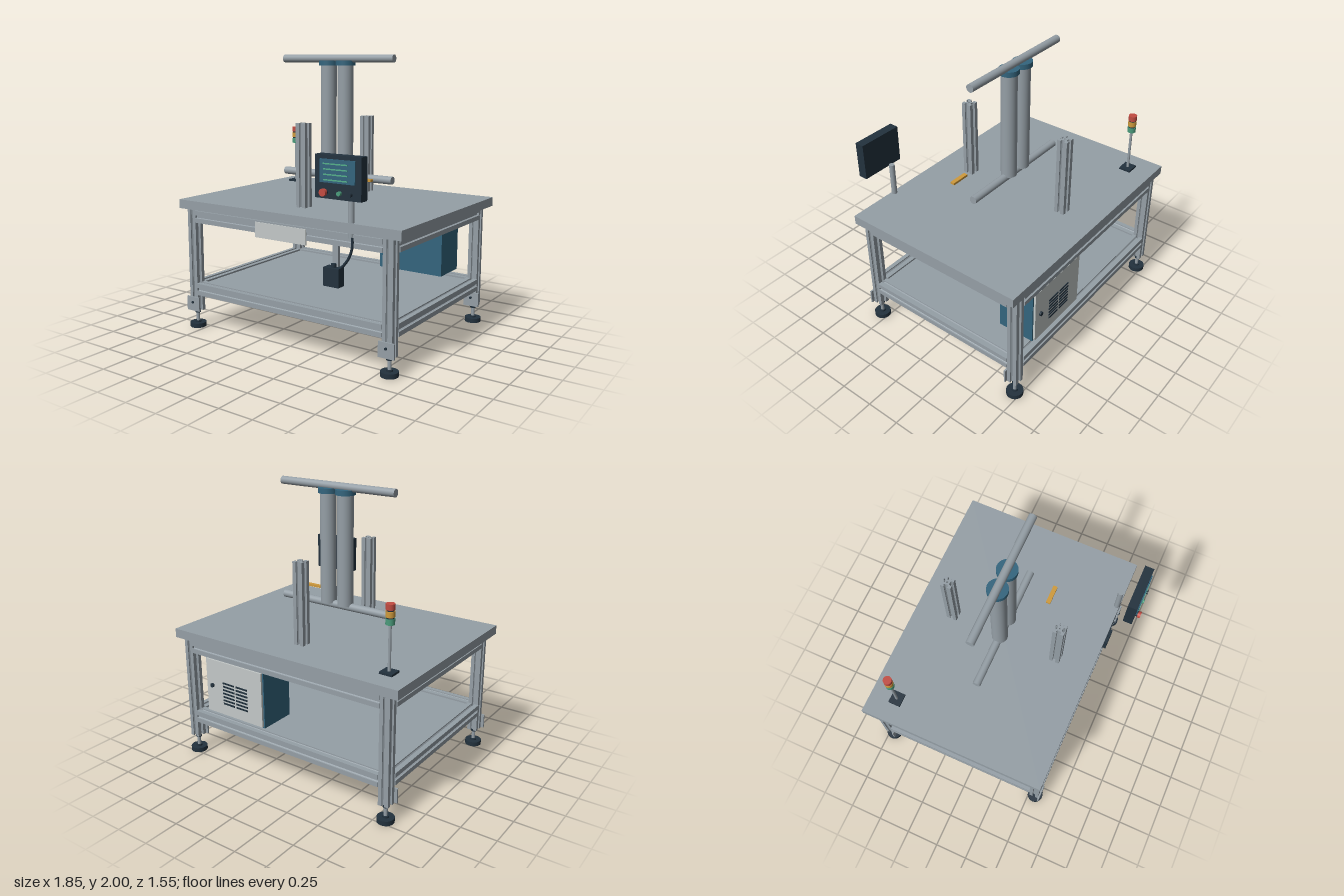
import * as THREE from 'three';

const mat = (name, hex) => {
  const m = new THREE.MeshStandardMaterial({ color: hex });
  m.name = name;
  return m;
};

export function createModel() {
  const M = {
    alu: mat('aluminium', 0x959fa6),
    teal: mat('teal paint', 0x33657e),
    dark: mat('dark plastic', 0x23323e),
    pale: mat('pale panel', 0xc4c9c8),
    red: mat('signal red', 0xc24c42),
    amber: mat('signal amber', 0xcf9a3c),
    green: mat('signal green', 0x4b9c7c),
    lines: mat('screen green', 0x55b08a),
  };
  const root = new THREE.Group();
  root.name = 'workbench';

  const add = (name, geo, material, x, y, z, parent = root) => {
    const m = new THREE.Mesh(geo, material);
    m.name = name;
    m.position.set(x, y, z);
    parent.add(m);
    return m;
  };
  const group = (name) => {
    const g = new THREE.Group();
    g.name = name;
    root.add(g);
    return g;
  };
  // Box given by its limits on each axis
  const box = (name, material, [x0, x1], [y0, y1], [z0, z1], parent) =>
    add(name, new THREE.BoxGeometry(x1 - x0, y1 - y0, z1 - z0), material,
      (x0 + x1) / 2, (y0 + y1) / 2, (z0 + z1) / 2, parent);
  // Cylinder along an axis, centred on its position
  const cyl = (name, material, r, len, [x, y, z], axis = 'y', parent = root, sides = 32) => {
    const g = new THREE.CylinderGeometry(r, r, len, sides);
    if (axis === 'x') g.rotateZ(Math.PI / 2);
    if (axis === 'z') g.rotateX(Math.PI / 2);
    return add(name, g, material, x, y, z, parent);
  };

  // Square profile with a T-slot in every side and a bore
  const profile = (name, size, len, [x, y, z], axis, parent) => {
    const h = size / 2;
    const side = [[-h, -h], [-0.011, -h], [-0.011, -h + 0.008], [-0.019, -h + 0.008], [-0.01, -h + 0.021],
      [0.01, -h + 0.021], [0.019, -h + 0.008], [0.011, -h + 0.008], [0.011, -h]];
    const pts = [];
    for (let k = 0; k < 4; k++) {
      const c = Math.round(Math.cos(k * Math.PI / 2)), s = Math.round(Math.sin(k * Math.PI / 2));
      for (const [a, b] of side) pts.push(new THREE.Vector2(a * c - b * s, a * s + b * c));
    }
    const shape = new THREE.Shape(pts);
    shape.holes.push(new THREE.Path().absarc(0, 0, 0.007, 0, Math.PI * 2, true));
    const g = new THREE.ExtrudeGeometry(shape, { depth: len, bevelEnabled: false, curveSegments: 8 });
    g.translate(0, 0, -len / 2);
    if (axis === 'y') g.rotateX(Math.PI / 2);
    if (axis === 'x') g.rotateY(Math.PI / 2);
    return add(name, g, M.alu, x, y, z, parent);
  };

  // Table top and lower shelf
  box('tableTop', M.alu, [-0.927, 0.927], [0.895, 0.96], [-0.77, 0.605]);
  box('lowerShelf', M.alu, [-0.79, 0.79], [0.318, 0.33], [-0.675, 0.515]);

  // Legs with foot plates and levelling feet
  const LX = 0.825, ZF = 0.55, ZB = -0.712;
  const frame = group('frame');
  for (const x of [-LX, LX]) for (const z of [ZB, ZF]) {
    profile('leg', 0.075, 0.77, [x, 0.51, z], 'y', frame);
    box('footPlate', M.alu, [x - 0.059, x + 0.059], [0.13, 0.235], [z + 0.037, z + 0.049], frame);
    cyl('plateBolt', M.dark, 0.009, 0.01, [x, 0.195, z + 0.053], 'z', frame, 16);
    cyl('footStem', M.alu, 0.013, 0.11, [x, 0.085, z], 'y', frame, 20);
    cyl('footNut', M.dark, 0.022, 0.014, [x, 0.113, z], 'y', frame, 6);
    cyl('footCollar', M.dark, 0.022, 0.012, [x, 0.038, z], 'y', frame, 20);
    cyl('footPad', M.dark, 0.059, 0.033, [x, 0.0165, z], 'y', frame);
  }

  // Rails, upper and lower, on all four sides
  for (const y of [0.299, 0.844]) {
    for (const z of [ZB, ZF]) profile('longRail', 0.087, 2 * LX - 0.075, [0, y, z], 'x', frame);
    for (const x of [-LX, LX]) profile('sideRail', 0.087, ZF - ZB - 0.075, [x, y, (ZF + ZB) / 2], 'z', frame);
  }

  // Posts standing on the table
  for (const z of [-0.49, 0.328]) profile('tablePost', 0.077, 0.58, [0, 1.25, z], 'y');

  // Twin columns between two cross bars
  const press = group('columnUnit');
  for (const s of [-1, 1]) {
    cyl('column', M.alu, 0.057, 0.785, [s * 0.072, 1.532, -0.08], 'y', press, 40);
    cyl('columnCollar', M.teal, 0.07, 0.036, [s * 0.072, 1.94, -0.08], 'y', press, 40);
  }
  for (const y of [1.132, 1.972]) cyl('crossBar', M.alu, 0.028, 0.935, [0, y, -0.08], 'x', press);
  box('sensorBar', M.amber, [0.287, 0.428], [1.149, 1.165], [0.119, 0.151]);

  // Signal tower
  const tower = group('signalTower');
  box('towerBase', M.dark, [-0.795, -0.7], [0.96, 0.975], [-0.623, -0.535], tower);
  cyl('towerPole', M.alu, 0.01, 0.31, [-0.748, 1.13, -0.579], 'y', tower, 20);
  cyl('towerCore', M.dark, 0.025, 0.12, [-0.748, 1.345, -0.579], 'y', tower, 24);
  [[M.green, 1.3], [M.amber, 1.348], [M.red, 1.395]].forEach(([m, y]) =>
    cyl('towerLamp', m, 0.03, 0.038, [-0.748, y, -0.579], 'y', tower, 24));

  // Control panel with screen and buttons
  const panel = group('controlPanel');
  box('panelCase', M.dark, [0.39, 0.725], [1.13, 1.4], [0.672, 0.74], panel);
  box('screen', M.teal, [0.43, 0.684], [1.23, 1.375], [0.739, 0.748], panel);
  for (let i = 0; i < 4; i++) {
    const y = 1.346 - i * 0.033;
    box('screenLine', M.lines, [0.455, 0.632], [y - 0.004, y + 0.004], [0.747, 0.751], panel);
  }
  cyl('stopButtonBase', M.dark, 0.02, 0.015, [0.465, 1.17, 0.746], 'z', panel);
  cyl('stopButton', M.red, 0.024, 0.022, [0.465, 1.17, 0.764], 'z', panel);
  cyl('startButton', M.green, 0.014, 0.022, [0.573, 1.17, 0.75], 'z', panel);
  cyl('darkButton', M.dark, 0.014, 0.022, [0.65, 1.17, 0.75], 'z', panel);
  cyl('panelPost', M.alu, 0.02, 0.34, [0.556, 1.03, 0.585], 'y', panel);

  // Switch box hanging under the front rail, with its cable
  const sw = group('switchBox');
  box('switchCase', M.dark, [0.365, 0.482], [0.53, 0.655], [0.555, 0.62], sw);
  box('switchBracket', M.alu, [0.405, 0.449], [0.655, 0.805], [0.55, 0.575], sw);
  cyl('cableGland', M.dark, 0.018, 0.03, [0.426, 0.664, 0.59], 'y', sw, 16);
  const path = new THREE.CatmullRomCurve3([[0.57, 0.87], [0.568, 0.8], [0.545, 0.735], [0.51, 0.685], [0.46, 0.64]]
    .map(([x, y]) => new THREE.Vector3(x, y, 0.594)));
  add('cable', new THREE.TubeGeometry(path, 32, 0.009, 10), M.dark, 0, 0, 0, sw);

  // Pale plate on the front rail
  box('railPlate', M.pale, [-0.216, 0.212], [0.77, 0.877], [0.592, 0.601]);

  // Electrical cabinet at the back, door facing rearward
  const cab = group('cabinet');
  box('cabinetBody', M.teal, [0.145, 0.67], [0.38, 0.8], [-0.735, -0.465], cab);
  box('cabinetDoor', M.pale, [0.155, 0.66], [0.39, 0.79], [-0.75, -0.734], cab);
  cyl('doorLock', M.dark, 0.015, 0.016, [0.605, 0.595, -0.756], 'z', cab, 20);
  for (let r = 0; r < 7; r++) for (const x of [0.335, 0.455]) {
    const y = 0.478 + r * 0.026;
    box('ventSlot', M.dark, [x - 0.052, x + 0.052], [y - 0.006, y + 0.006], [-0.754, -0.749], cab);
  }

  return root;
}
